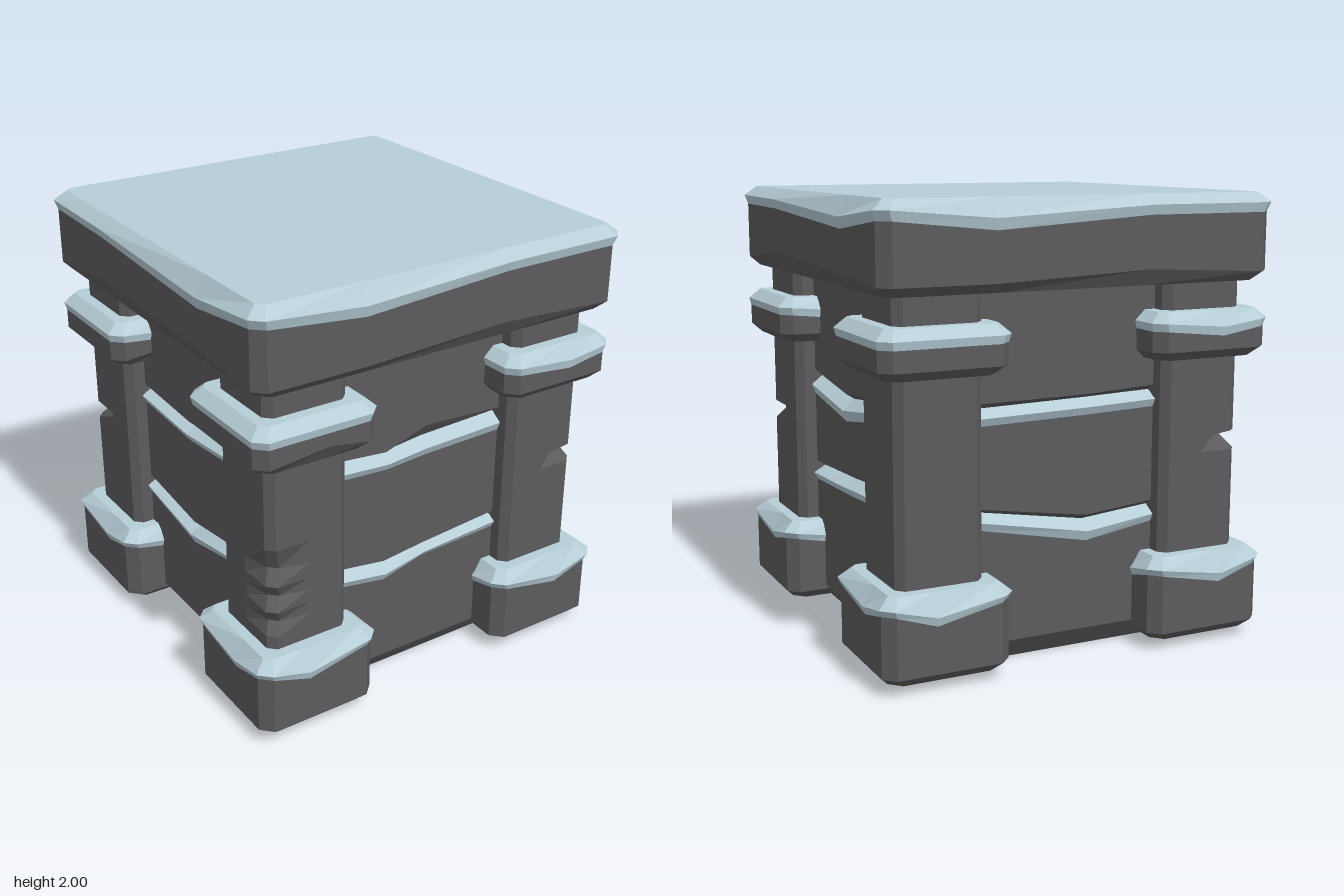
import * as THREE from 'three';

const stone = new THREE.MeshStandardMaterial({ color: 0x5c5c5e });
stone.name = 'stone';
const snow = new THREE.MeshStandardMaterial({ color: 0xb7ced7 });
snow.name = 'paleTrim';

// Point on side k (0 front, 1 right-hand +x, 2 back, 3 -x): a runs rightward seen from outside
function onSide(k, a, y, h) {
  const c = [1, 0, -1, 0][k], s = [0, 1, 0, -1][k];
  return new THREE.Vector3(a * c + h * s, y, -a * s + h * c);
}

// Flat-shaded skin through rows of points, listed from bottom to top
function loft(name, rows, material, { closed = true, top = false, bottom = false } = {}) {
  const pos = [];
  const tri = (...pts) => pts.forEach((p) => pos.push(p.x, p.y, p.z));
  const n = rows[0].length;
  for (let i = 0; i < rows.length - 1; i++) {
    for (let j = 0; j < (closed ? n : n - 1); j++) {
      const k = (j + 1) % n;
      const a = rows[i][j], b = rows[i][k], c = rows[i + 1][k], d = rows[i + 1][j];
      tri(a, b, c);
      tri(a, c, d);
    }
  }
  const cap = (row, up) => {
    const mid = row.reduce((s, p) => s.add(p), new THREE.Vector3()).divideScalar(n);
    row.forEach((p, j) => {
      const q = row[(j + 1) % n];
      if (up) tri(mid, p, q); else tri(mid, q, p);
    });
  };
  if (top) cap(rows[rows.length - 1], true);
  if (bottom) cap(rows[0], false);
  const g = new THREE.BufferGeometry();
  g.setAttribute('position', new THREE.Float32BufferAttribute(pos, 3));
  g.computeVertexNormals();
  const mesh = new THREE.Mesh(g, material);
  mesh.name = name;
  return mesh;
}

// Square ring with cut corners; each wave is [fraction along side, dip, rise]
function ring(half, cut, y, waves, offset = () => 0) {
  const pts = [];
  for (let k = 0; k < 4; k++) {
    const e = half - cut;
    pts.push(onSide(k, -e, y, half));
    for (const w of waves[k]) pts.push(onSide(k, w[0] * e, y + offset(w), half));
    pts.push(onSide(k, e, y, half));
  }
  return pts;
}

// Bevelled stone block with a wavy pale layer over its upper edge
function block(name, half, y0, y1, waves, o) {
  const g = new THREE.Group();
  g.name = name;
  const dip = (w) => -w[1], rise = (w) => w[2];
  g.add(loft(name + 'Stone', [
    ring(half - o.bevel, o.cut, y0, waves),
    ring(half, o.cut, y0 + o.bevel, waves, rise),
    ring(half, o.cut, o.low, waves, dip),
  ], stone, { bottom: true }));
  g.add(loft(name + 'Trim', [
    ring(half, o.cut, o.low, waves, dip),
    ring(half + o.out, o.cut, o.mid, waves, (w) => -0.85 * w[1]),
    ring(half - 0.04, o.cut * 0.6, y1, waves),
  ], snow, { top: true }));
  return g;
}

// Wall columns: [along, lower ledge bottom, top, shadow edge, upper ledge bottom, top, shadow edge]
const WALLS = [
  [[-0.43, 0.545, 0.61, 0.635, 1.07, 1.14, 1.165], [-0.18, 0.505, 0.575, 0.6, 1.055, 1.12, 1.14],
    [0.03, 0.56, 0.608, 0.625, 1.07, 1.145, 1.21], [0.43, 0.58, 0.645, 0.66, 1.08, 1.16, 1.19]],
  [[-0.43, 0.61, 0.675, 0.7, 1.03, 1.12, 1.145], [0, 0.63, 0.7, 0.725, 0.97, 1.07, 1.095],
    [0.25, 0.645, 0.72, 0.745, 1.01, 1.1, 1.125], [0.43, 0.63, 0.695, 0.72, 1.04, 1.125, 1.145]],
  [[-0.43, 0.61, 0.68, 0.7, 1.05, 1.12, 1.145], [0.1, 0.5, 0.59, 0.615, 1.06, 1.13, 1.15],
    [0.43, 0.55, 0.62, 0.645, 1.07, 1.14, 1.165]],
  [[-0.43, 0.58, 0.65, 0.67, 1.06, 1.13, 1.15], [0, 0.51, 0.6, 0.62, 1.04, 1.11, 1.13],
    [0.43, 0.6, 0.66, 0.68, 1.08, 1.15, 1.17]],
];

// One wall: three stone courses with a pale ledge in each groove
function wall(k) {
  const g = new THREE.Group();
  g.name = 'wall' + ['Front', 'Left', 'Back', 'Right'][k];
  const F = 0.73, IN = 0.69, OUT = 0.748;
  const src = WALLS[k];
  const cols = [[-F, ...src[0].slice(1)], ...src, [F, ...src[src.length - 1].slice(1)]];
  const row = (y, h) => cols.map((c) => onSide(k, c[0], y(c), h));
  const add = (name, rows, m) => g.add(loft(name, rows, m, { closed: false }));
  const at = (i) => (c) => c[i];
  add('lowerCourse', [row(() => 0.1, F), row(at(1), F)], stone);
  add('middleCourse', [row(at(2), IN), row(at(3), F), row(at(4), F)], stone);
  add('upperCourse', [row(at(5), IN), row(at(6), F), row(() => 1.64, F)], stone);
  for (const i of [1, 4]) {
    const mid = (c) => c[i] * 0.5 + c[i + 1] * 0.5;
    add('ledgeTrim', [row(at(i), F), row(mid, OUT), row(at(i + 1), IN)], snow);
  }
  return g;
}

// Corner pillar; chips are [height, depth cut from the outer edge]
function pillar(sx, sz, chips) {
  const mids = [0, 1, 2, 3].map(() => [[0, 0, 0]]);
  const levels = [[0.2, 0], ...chips, [1.64, 0]];
  const rows = levels.map(([y, d]) => ring(0.195, 0.035, y, mids).map((p) => {
    if (p.x * sx > 0.1 && p.z * sz > 0.1) {
      p.x -= sx * d;
      p.z -= sz * d;
    }
    return p;
  }));
  return loft('pillar', rows, stone);
}

export function createModel() {
  const model = new THREE.Group();
  model.name = 'stonePedestal';

  // Core
  const plain = [[], [], [], []];
  model.add(loft('baseSlab', [ring(0.655, 0.01, 0, plain), ring(0.73, 0.01, 0.1, plain)],
    stone, { bottom: true }));
  for (let k = 0; k < 4; k++) model.add(wall(k));

  // Corner columns: foot, pillar and collar
  const notch = [[0.86, 0], [0.925, 0.05], [0.945, 0]];
  const worn = [[0.48, 0], [0.54, 0.025], [0.6, 0], [0.66, 0.03], [0.72, 0.005], [0.79, 0.035], [0.9, 0]];
  for (const sx of [-1, 1]) {
    for (const sz of [-1, 1]) {
      const column = new THREE.Group();
      column.name = 'cornerColumn';
      column.position.set(sx * 0.625, 0, sz * 0.625);
      const footWaves = [0, 1, 2, 3].map((k) => [[k % 2 ? 0.25 : sx * sz * 0.24, k % 2 ? 0.045 : 0.06, 0]]);
      column.add(block('foot', 0.285, 0.04, 0.42, footWaves,
        { bevel: 0.04, cut: 0.05, low: 0.345, mid: 0.375, out: 0.012 }));
      column.add(pillar(sx, sz, sx === sz ? notch : sx < 0 ? worn : []));
      const collarWaves = [0, 1, 2, 3].map((k) => [
        [0.2, k % 2 === 0 && sx === sz ? 0.03 : 0, k === 0 && sx < 0 ? 0.03 : 0]]);
      column.add(block('collar', 0.285, 1.29, 1.5, collarWaves,
        { bevel: 0.04, cut: 0.05, low: 1.42, mid: 1.455, out: 0.008 }));
      model.add(column);
    }
  }

  // Top slab
  const slabWaves = [0, 1, 2, 3].map((k) => (k % 2
    ? [[-0.47, 0.005, 0.05], [0.54, 0.05, 0.025]]
    : [[-0.48, 0.045, 0], [0.34, 0, 0.03]]));
  model.add(block('topSlab', 0.91, 1.62, 2, slabWaves,
    { bevel: 0.04, cut: 0.05, low: 1.915, mid: 1.957, out: 0.013 }));
  return model;
}
